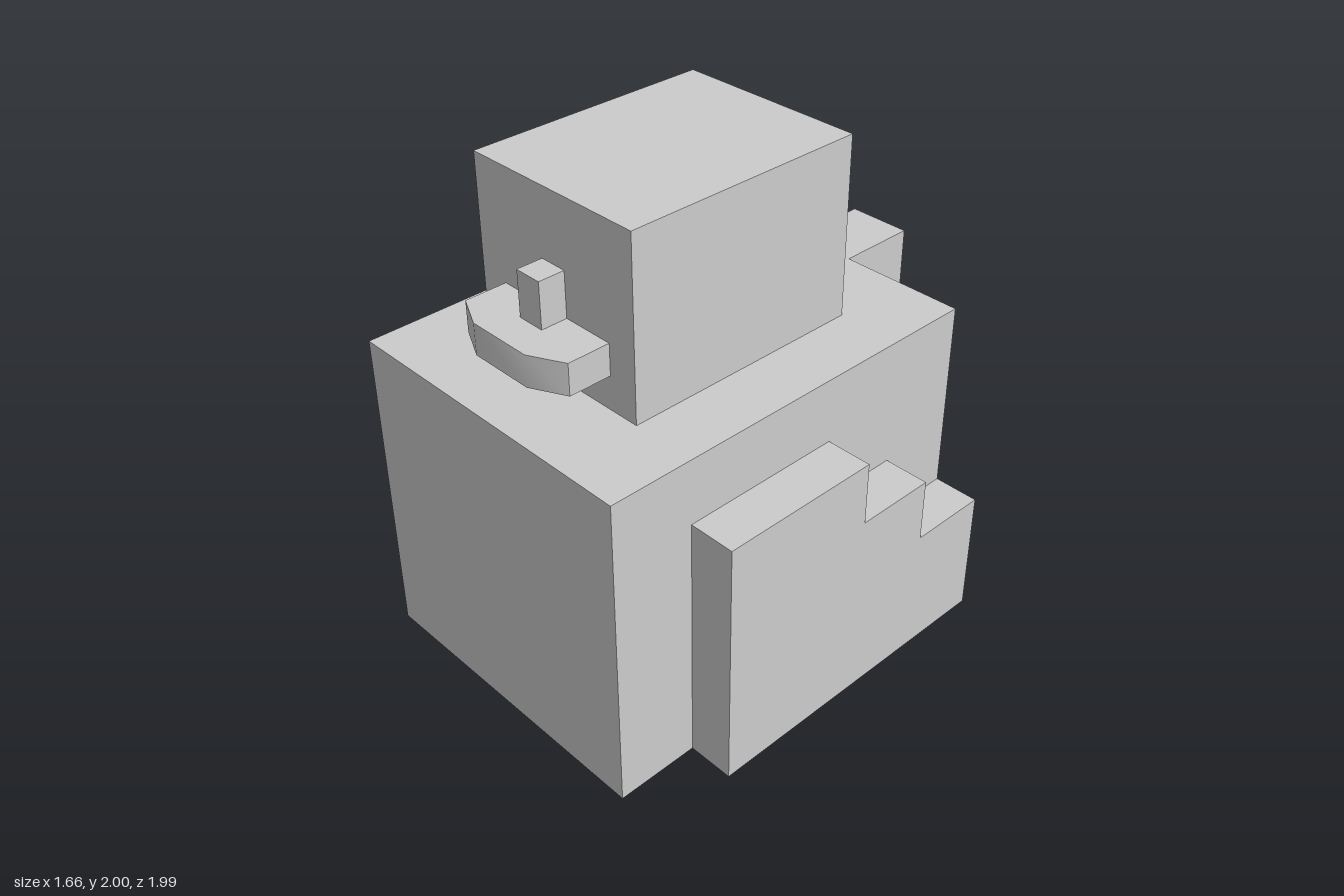
import * as THREE from 'three';
import { toCreasedNormals } from 'three/addons/utils/BufferGeometryUtils.js';

const material = new THREE.MeshStandardMaterial({ color: 0xcccccc });

function addMesh(parent, name, geometry) {
  const mesh = new THREE.Mesh(geometry, material);
  mesh.name = name;
  parent.add(mesh);
  return mesh;
}

// Box given by its limits on each axis
function addBox(parent, name, [x0, x1], [y0, y1], [z0, z1]) {
  const mesh = addMesh(parent, name, new THREE.BoxGeometry(x1 - x0, y1 - y0, z1 - z0));
  mesh.position.set((x0 + x1) / 2, (y0 + y1) / 2, (z0 + z1) / 2);
  return mesh;
}

function extrude(points, depth) {
  const shape = new THREE.Shape(points.map(([a, b]) => new THREE.Vector2(a, b)));
  return new THREE.ExtrudeGeometry(shape, { depth, bevelEnabled: false });
}

export function createModel() {
  const model = new THREE.Group();
  model.name = 'blockFigure';

  // Main blocks
  addBox(model, 'body', [-0.645, 0.645], [0, 1.29], [-0.665, 0.995]);
  addBox(model, 'head', [-0.388, 0.388], [1.29, 2], [-0.335, 0.66]);

  // Stepped panels on both sides, profile in (z, y)
  const steps = [
    [-0.665, 0], [0.66, 0], [0.66, 1.03], [0, 1.03],
    [0, 0.775], [-0.335, 0.775], [-0.335, 0.515], [-0.665, 0.515],
  ];
  for (const [name, outerX] of [['leftPanel', 0.83], ['rightPanel', -0.645]]) {
    const panel = addMesh(model, name, extrude(steps, 0.185).rotateY(-Math.PI / 2));
    panel.position.x = outerX;
  }

  // Back block with a raised centre, profile in (x, y)
  const pack = [
    [-0.388, 0.515], [0.388, 0.515], [0.388, 1.03], [0.13, 1.03],
    [0.13, 1.29], [-0.13, 1.29], [-0.13, 1.03], [-0.388, 1.03],
  ];
  addMesh(model, 'backBlock', extrude(pack, 0.33)).position.z = -0.995;

  // Mouth with softened front corners, outline in (x, z)
  const mouthOutline = [
    [-0.267, 0.66], [0.267, 0.66], [0.267, 0.83],
    [0.133, 0.897], [-0.133, 0.897], [-0.267, 0.83],
  ];
  const mouthGeometry = extrude(mouthOutline, 0.125).rotateX(Math.PI / 2);
  addMesh(model, 'mouth', toCreasedNormals(mouthGeometry, Math.PI / 5)).position.y = 1.55;

  // Nose standing on the mouth
  addBox(model, 'nose', [-0.056, 0.056], [1.55, 1.73], [0.66, 0.765]);

  return model;
}
